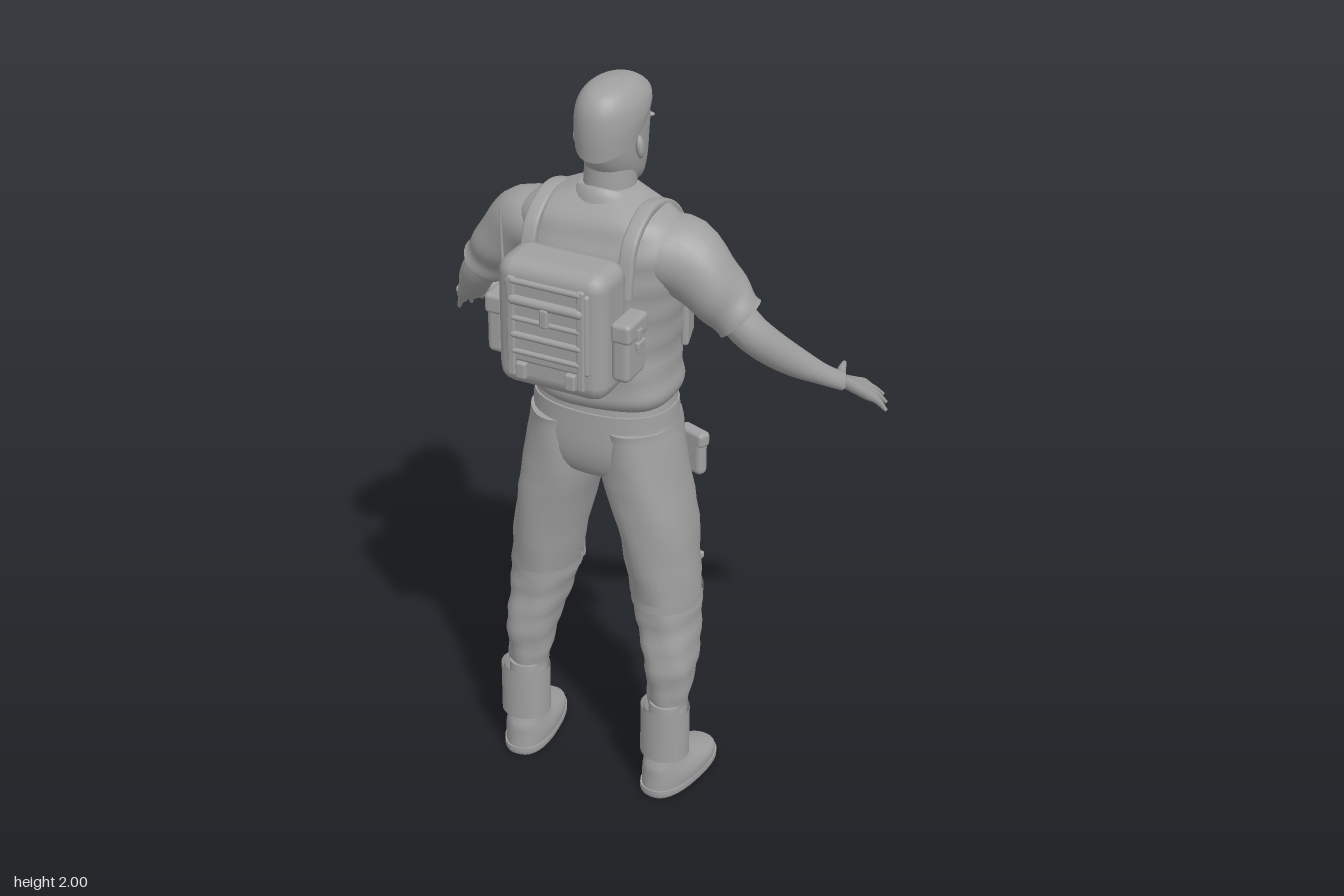
import * as THREE from 'three';
import { RoundedBoxGeometry } from 'three/addons/geometries/RoundedBoxGeometry.js';

const grey = new THREE.MeshStandardMaterial({ color: 0xa0a0a0, side: THREE.DoubleSide });
grey.name = 'plain grey';
const V = (x, y, z) => new THREE.Vector3(x, y, z);

function add(parent, name, geo, x = 0, y = 0, z = 0, rx = 0, ry = 0, rz = 0) {
  const m = new THREE.Mesh(geo, grey);
  m.name = name;
  m.position.set(x, y, z);
  m.rotation.set(rx, ry, rz);
  parent.add(m);
}

// Smoothly interpolate rows of numbers (all rows the same length)
function smoothRows(rows, sub) {
  const out = [], n = rows.length;
  for (let i = 0; i < n - 1; i++) {
    const [p, a, b, q] = [rows[Math.max(0, i - 1)], rows[i], rows[i + 1], rows[Math.min(n - 1, i + 2)]];
    for (let s = 0; s < sub; s++) {
      const t = s / sub;
      out.push(a.map((v, k) => v + 0.5 * t * (b[k] - p[k] + t * (2 * p[k] - 5 * v + 4 * b[k] - q[k] + t * (3 * (v - b[k]) + q[k] - p[k])))));
    }
  }
  out.push(rows[n - 1].slice());
  return out;
}

// Skin a list of closed rings, with optional flat caps
function skin(rings, caps = true) {
  const pos = [], idx = [], n = rings[0].length;
  for (const r of rings) for (const p of r) pos.push(p.x, p.y, p.z);
  for (let i = 0; i < rings.length - 1; i++) for (let j = 0; j < n; j++) {
    const a = i * n + j, b = i * n + (j + 1) % n;
    idx.push(a, a + n, b, b, a + n, b + n);
  }
  if (caps) for (const [r, up] of [[rings[0], false], [rings[rings.length - 1], true]]) {
    const base = pos.length / 3, c = V(0, 0, 0);
    for (const p of r) { pos.push(p.x, p.y, p.z); c.addScaledVector(p, 1 / n); }
    pos.push(c.x, c.y, c.z);
    for (let j = 0; j < n; j++) {
      const k = (j + 1) % n;
      if (up) idx.push(base + n, base + k, base + j); else idx.push(base + n, base + j, base + k);
    }
  }
  const g = new THREE.BufferGeometry();
  g.setAttribute('position', new THREE.Float32BufferAttribute(pos, 3));
  g.setIndex(idx);
  g.computeVertexNormals();
  return g;
}

const sPow = (v, p) => Math.sign(v) * Math.abs(v) ** (2 / p);

// Upright form from rows [y, cx, cz, rx, rz, tilt]; fold ripples the cloth
function loft(rows, { seg = 32, p = 2, fold = 0, sub = 4, caps = true } = {}) {
  return skin(smoothRows(rows, sub).map(([y, cx, cz, rx, rz, tilt = 0]) => Array.from({ length: seg }, (_, j) => {
    const t = j / seg * Math.PI * 2;
    const f = fold * Math.sin(3 * t + y * 31) * Math.sin(2 * t - y * 47);
    const dz = sPow(Math.sin(t), p) * (rz + f);
    return V(cx + sPow(Math.cos(t), p) * (rx + f), y + tilt * dz, cz + dz);
  })), caps);
}

// Swept form from rows [x, y, z, halfWidth, halfThickness]; width follows ref
function sweep(rows, ref, { seg = 16, p = 2, fold = 0 } = {}) {
  const r = smoothRows(rows, 4);
  return skin(r.map(([x, y, z, a, b], i) => {
    const e = r[Math.min(i + 1, r.length - 1)], s = r[Math.max(i - 1, 0)];
    const t = V(e[0] - s[0], e[1] - s[1], e[2] - s[2]).normalize();
    const u = ref.clone().addScaledVector(t, -ref.dot(t)).normalize(), v = u.clone().cross(t);
    return Array.from({ length: seg }, (_, j) => {
      const k = j / seg * Math.PI * 2, f = fold * Math.sin(2 * k + i * 0.9);
      return V(x, y, z).addScaledVector(u, sPow(Math.cos(k), p) * (a + f)).addScaledVector(v, sPow(Math.sin(k), p) * (b + f));
    });
  }));
}

const box = (w, h, d, r = 0.01) => new RoundedBoxGeometry(w, h, d, 2, Math.min(r, w / 2.1, h / 2.1, d / 2.1));
const ball = (rx, ry, rz) => new THREE.SphereGeometry(1, 16, 10).scale(rx, ry, rz);

// Pouch with flap, strap and buckle, opening towards -z before turning
function pouch(parent, name, w, h, d, x, y, z, turn = 0) {
  const g = new THREE.Group();
  g.name = name;
  g.position.set(x, y, z);
  g.rotation.y = turn;
  parent.add(g);
  add(g, 'pouchBody', box(w, h, d, 0.016));
  add(g, 'pouchFlap', box(w * 1.06, h * 0.34, d * 1.1, 0.012), 0, h * 0.34, -0.002);
  add(g, 'pouchStrap', box(w * 0.22, h * 0.4, 0.008, 0.003), 0, h * 0.15, -d / 2 - 0.005);
  add(g, 'pouchBuckle', box(w * 0.4, h * 0.12, 0.012, 0.004), 0, h * 0.1, -d / 2 - 0.007);
}

function buildHead(g) {
  add(g, 'neck', loft([[1.6, 0, 0.02, 0.085, 0.08], [1.68, 0, 0.015, 0.07, 0.068], [1.75, 0, 0.012, 0.066, 0.066], [1.82, 0, 0.015, 0.06, 0.06]]));
  add(g, 'head', loft([[1.705, 0, -0.07, 0.022, 0.032], [1.72, 0, -0.055, 0.046, 0.056], [1.75, 0, -0.03, 0.064, 0.08],
    [1.79, 0, -0.015, 0.073, 0.1], [1.84, 0, -0.006, 0.078, 0.112], [1.89, 0, -0.004, 0.08, 0.118],
    [1.94, 0, -0.005, 0.076, 0.112], [1.975, 0, -0.004, 0.056, 0.085], [1.99, 0, 0, 0.02, 0.03]], { p: 2.1 }));
  add(g, 'hair', loft([[1.875, 0, 0, 0.081, 0.118, -0.5], [1.91, 0, -0.002, 0.085, 0.124, -0.25], [1.945, 0, -0.004, 0.08, 0.121, -0.08],
    [1.972, 0, -0.004, 0.064, 0.1, 0], [1.988, 0, -0.002, 0.042, 0.066, 0], [1.996, 0, 0, 0.008, 0.012, 0]], { p: 2.1 }));
  // short hair tufts on the crown
  let seed = 7;
  const rnd = () => (seed = (seed * 16807) % 2147483647) / 2147483647;
  for (let i = 0; i < 45; i++) {
    const a = rnd() * Math.PI * 2, r = Math.sqrt(rnd()) * 0.8;
    add(g, 'hairTuft', new THREE.ConeGeometry(0.004, 0.014, 4), Math.cos(a) * r * 0.066, 1.993 - r ** 3 * 0.04, Math.sin(a) * r * 0.1, -0.9);
  }
  add(g, 'nose', sweep([[0, 1.855, -0.112, 0.009, 0.008], [0, 1.825, -0.122, 0.011, 0.012], [0, 1.803, -0.13, 0.016, 0.014], [0, 1.793, -0.122, 0.01, 0.008]], V(1, 0, 0)));
  add(g, 'upperLip', ball(0.024, 0.006, 0.01), 0, 1.772, -0.11);
  add(g, 'lowerLip', ball(0.02, 0.006, 0.01), 0, 1.76, -0.107);
  add(g, 'chin', ball(0.028, 0.022, 0.022), 0, 1.725, -0.093);
  for (const s of [-1, 1]) {
    add(g, 'ear', ball(0.011, 0.032, 0.02), s * 0.083, 1.835, 0.015, 0.2, s * 0.35);
    add(g, 'brow', ball(0.026, 0.007, 0.012), s * 0.035, 1.868, -0.104, 0, s * 0.35);
    add(g, 'eye', ball(0.014, 0.007, 0.008), s * 0.034, 1.848, -0.105, 0, s * 0.35);
  }
}

function buildShirt(g) {
  add(g, 'shirt', loft([[1.16, 0, 0.03, 0.175, 0.13], [1.18, 0, 0.032, 0.195, 0.142], [1.22, 0, 0.035, 0.2, 0.147], [1.3, 0, 0.036, 0.193, 0.145],
    [1.4, 0, 0.037, 0.203, 0.148], [1.5, 0, 0.04, 0.218, 0.148], [1.58, 0, 0.042, 0.232, 0.142], [1.64, 0, 0.045, 0.23, 0.122],
    [1.685, 0, 0.045, 0.185, 0.095], [1.715, 0, 0.03, 0.11, 0.075], [1.73, 0, 0.02, 0.07, 0.06]], { p: 2.4, fold: 0.005, seg: 48 }));
  add(g, 'collar', loft([[1.635, 0, 0.005, 0.112, 0.112, 0.5], [1.675, 0, 0.004, 0.1, 0.103, 0.5], [1.7, 0, 0.005, 0.086, 0.088, 0.5],
    [1.69, 0, 0.005, 0.08, 0.082, 0.5]], { caps: false }));
  for (const s of [-1, 1]) {
    add(g, 'collarPoint', box(0.055, 0.07, 0.012, 0.004), s * 0.045, 1.605, -0.092, 0.5, 0, s * 0.55);
    add(g, 'sleeve', sweep([[s * 0.13, 1.6, 0.045, 0.1, 0.08], [s * 0.21, 1.58, 0.035, 0.1, 0.098], [s * 0.29, 1.51, 0.025, 0.084, 0.084],
      [s * 0.33, 1.462, 0.016, 0.072, 0.07], [s * 0.36, 1.43, 0.01, 0.066, 0.069]], V(0, 0, 1), { seg: 28, fold: 0.003 }));
  }
}

function buildArm(g, s) {
  const mx = rows => rows.map(([x, ...r]) => [s * x, ...r]);
  add(g, 'arm', sweep(mx([[0.32, 1.47, 0.02, 0.05, 0.05], [0.38, 1.4, 0.005, 0.048, 0.048], [0.42, 1.345, -0.035, 0.046, 0.045],
    [0.465, 1.285, -0.095, 0.04, 0.038], [0.52, 1.232, -0.155, 0.029, 0.025], [0.552, 1.2, -0.2, 0.027, 0.02]]), V(0, 0, 1), { seg: 20 }));
  // fingers run from the wrist through the palm
  const knuckles = [[0.558, 1.152, -0.29], [0.574, 1.146, -0.288], [0.588, 1.142, -0.28], [0.6, 1.14, -0.265]];
  const tips = [[0.572, 1.11, -0.365], [0.603, 1.09, -0.37], [0.622, 1.083, -0.345], [0.638, 1.083, -0.305]];
  tips.forEach((t, i) => {
    const k = knuckles[i], mid = k.map((v, j) => (v + t[j]) / 2 + (j === 1 ? 0.006 : 0));
    add(g, 'finger', sweep(mx([[0.546 + i * 0.004, 1.207, -0.19, 0.016, 0.016], [...k, 0.015, 0.015], [...mid, 0.01, 0.01], [...t, 0.005, 0.005]]), V(0, 1, 0), { seg: 10 }));
  });
  add(g, 'thumb', sweep(mx([[0.545, 1.205, -0.2, 0.017, 0.016], [0.53, 1.185, -0.25, 0.015, 0.014], [0.517, 1.182, -0.29, 0.011, 0.011], [0.507, 1.178, -0.33, 0.006, 0.006]]), V(0, 1, 0), { seg: 10 }));
}

function buildLeg(g, s) {
  add(g, 'trouserLeg', loft([[0.24, 0.214, 0.09, 0.05, 0.05], [0.3, 0.213, 0.08, 0.057, 0.058], [0.4, 0.21, 0.068, 0.069, 0.083], [0.5, 0.194, 0.044, 0.079, 0.097],
    [0.6, 0.18, 0.034, 0.089, 0.106], [0.8, 0.15, 0.034, 0.099, 0.125], [0.95, 0.115, 0.032, 0.107, 0.133], [1.1, 0.1, 0.032, 0.095, 0.13]]
    .map(([y, x, ...r]) => [y, s * x, ...r]), { fold: 0.005, p: 2.15 }));
  pouch(g, 'thighPouch', 0.085, 0.125, 0.035, s * 0.182, 0.945, -0.108, -s * 0.35);
  add(g, 'kneePad', box(0.095, 0.125, 0.03, 0.014), s * 0.178, 0.585, -0.082, 0.06, -s * 0.12);
  add(g, 'kneePadRim', box(0.1, 0.02, 0.034, 0.006), s * 0.178, 0.64, -0.083, 0, -s * 0.12);
  add(g, 'kneeStrap', loft([[0.575, s * 0.181, 0.034, 0.092, 0.111], [0.6, s * 0.18, 0.034, 0.093, 0.111]], { caps: false, sub: 1 }));

  // boot: pivot at the ankle, toes turned out
  const boot = new THREE.Group();
  boot.name = 'boot';
  boot.position.set(s * 0.215, 0, 0.1);
  boot.rotation.y = -s * 0.14;
  g.add(boot);
  add(boot, 'sole', loft([[0, 0, -0.064, 0.062, 0.14], [0.008, 0, -0.064, 0.068, 0.145], [0.025, 0, -0.064, 0.068, 0.145]], { p: 2.5, sub: 2 }));
  add(boot, 'shoe', loft([[0.02, 0, -0.064, 0.066, 0.142], [0.045, 0, -0.062, 0.068, 0.138], [0.066, 0, -0.042, 0.064, 0.117],
    [0.09, 0, -0.014, 0.056, 0.088], [0.115, 0, 0.003, 0.05, 0.064], [0.16, 0, 0.005, 0.046, 0.052], [0.28, 0, -0.004, 0.046, 0.05]], { p: 2.3 }));
  const cuff = new THREE.CylinderGeometry(1, 1, 0.15, 32, 1, true, Math.PI + 0.5, Math.PI * 2 - 1);
  add(boot, 'ankleCuff', cuff.clone().scale(0.068, 1, 0.063), 0, 0.195, 0.007);
  add(boot, 'cuffLining', cuff.clone().scale(0.061, 1, 0.056), 0, 0.195, 0.007);
  for (let i = 0; i < 5; i++)
    add(boot, 'lace', box(0.06, 0.009, 0.012, 0.004), 0, 0.13 + i * 0.03, -0.051, 0, 0, i % 2 ? 0.3 : -0.3);
}

function buildVest(g) {
  add(g, 'vestPlate', box(0.31, 0.28, 0.04, 0.018), 0, 1.44, -0.1);
  for (const x of [-0.105, -0.02, 0.075]) pouch(g, 'beltPouch', 0.07, 0.12, 0.062, x, 1.352, -0.158);
  pouch(g, 'chestPouch', 0.075, 0.08, 0.055, 0.148, 1.488, -0.15, -0.15);
  // webbing bars with end knobs
  for (let i = 0; i < 4; i++) for (const x of [-0.075, 0.045])
    add(g, 'webbingBar', new THREE.CapsuleGeometry(0.007, 0.075, 4, 10), x, 1.445 + i * 0.035, -0.125, 0, 0, Math.PI / 2);
  for (const [x, y] of [[0.085, 1.585], [-0.13, 1.565], [-0.13, 1.475]])
    add(g, 'knob', ball(0.015, 0.015, 0.012), x, y, -0.125);
  for (const s of [-1, 1]) {
    add(g, 'sidePad', ball(0.034, 0.042, 0.018), s * 0.2, 1.5, -0.1, 0, -s * 0.5);
    add(g, 'sidePanel', box(0.02, 0.14, 0.1, 0.008), s * 0.19, 1.38, -0.045, 0, s * 0.3);
    add(g, 'shoulderStrap', sweep([[1.48, -0.118], [1.6, -0.098], [1.672, -0.04], [1.705, 0.04], [1.695, 0.11], [1.64, 0.175], [1.52, 0.2]]
      .map(([y, z]) => [s * 0.135, y, z, 0.02, 0.011]), V(1, 0, 0), { p: 4 }));
  }
}

function buildBackpack(g) {
  add(g, 'packBody', box(0.3, 0.345, 0.15, 0.045), 0, 1.458, 0.268);
  add(g, 'packBackPad', box(0.24, 0.3, 0.04, 0.015), 0, 1.45, 0.19);
  add(g, 'packPanel', box(0.23, 0.22, 0.02, 0.009), 0, 1.475, 0.341);
  for (const s of [-1, 1]) {
    pouch(g, 'packSidePouch', 0.1, 0.16, 0.05, s * 0.172, 1.42, 0.25, -s * Math.PI / 2);
    add(g, 'packStrap', box(0.02, 0.27, 0.014, 0.005), s * 0.095, 1.46, 0.35);
    add(g, 'packBuckle', box(0.028, 0.045, 0.02, 0.006), s * 0.068, 1.345, 0.352);
  }
  // rolled bands across the panel
  for (const [y, r] of [[1.585, 0.008], [1.535, 0.013], [1.485, 0.007], [1.44, 0.009], [1.395, 0.007]])
    add(g, 'packBand', new THREE.CapsuleGeometry(r, 0.18, 4, 12), 0, y, 0.352, 0, 0, Math.PI / 2);
  add(g, 'packClip', box(0.022, 0.05, 0.02, 0.005), 0, 1.505, 0.357);
  add(g, 'antenna', new THREE.CylinderGeometry(0.002, 0.006, 0.27, 8), -0.157, 1.615, 0.28, 0, 0, 0.03);
}

export function createModel() {
  const g = new THREE.Group();
  g.name = 'fieldFigure';
  buildHead(g);
  buildShirt(g);
  add(g, 'trouserSeat', loft([[0.93, 0, 0.03, 0.08, 0.07], [0.96, 0, 0.03, 0.17, 0.115], [1.02, 0, 0.032, 0.203, 0.134],
    [1.1, 0, 0.032, 0.195, 0.136], [1.18, 0, 0.03, 0.183, 0.132]], { p: 2.3 }));
  add(g, 'waistband', loft([[1.11, 0, 0.032, 0.195, 0.14], [1.15, 0, 0.032, 0.192, 0.139]], { p: 2.3, sub: 1 }));
  for (const s of [-1, 1]) { buildArm(g, s); buildLeg(g, s); }
  buildVest(g);
  buildBackpack(g);
  return g;
}
